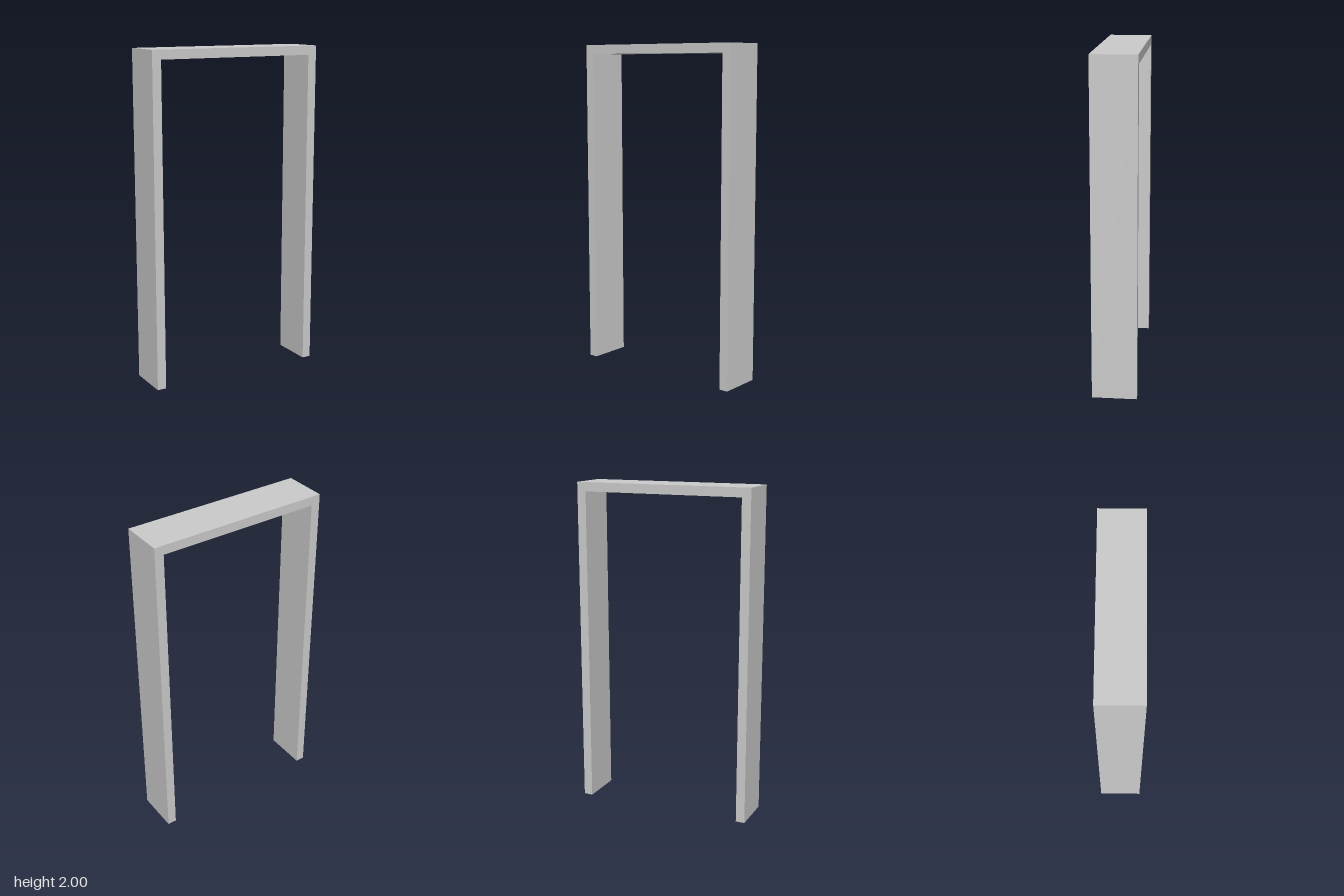
import * as THREE from 'three';

const HALF_WIDTH = 0.55, HEIGHT = 2, DEPTH = 0.264, BOARD = 0.055;

export function createModel() {
  const model = new THREE.Group();
  model.name = 'doorFrame';

  // Two jambs and a head as one continuous U-shaped section, open at the floor
  const inner = HALF_WIDTH - BOARD, head = HEIGHT - BOARD;
  const outline = new THREE.Shape([
    [-HALF_WIDTH, 0], [-inner, 0], [-inner, head], [inner, head],
    [inner, 0], [HALF_WIDTH, 0], [HALF_WIDTH, HEIGHT], [-HALF_WIDTH, HEIGHT],
  ].map(([x, y]) => new THREE.Vector2(x, y)));

  const geometry = new THREE.ExtrudeGeometry(outline, { depth: DEPTH, bevelEnabled: false });
  geometry.translate(0, 0, -DEPTH / 2);

  const frame = new THREE.Mesh(geometry, new THREE.MeshStandardMaterial({ color: 0xcccccc }));
  frame.name = 'frame';
  model.add(frame);
  return model;
}
